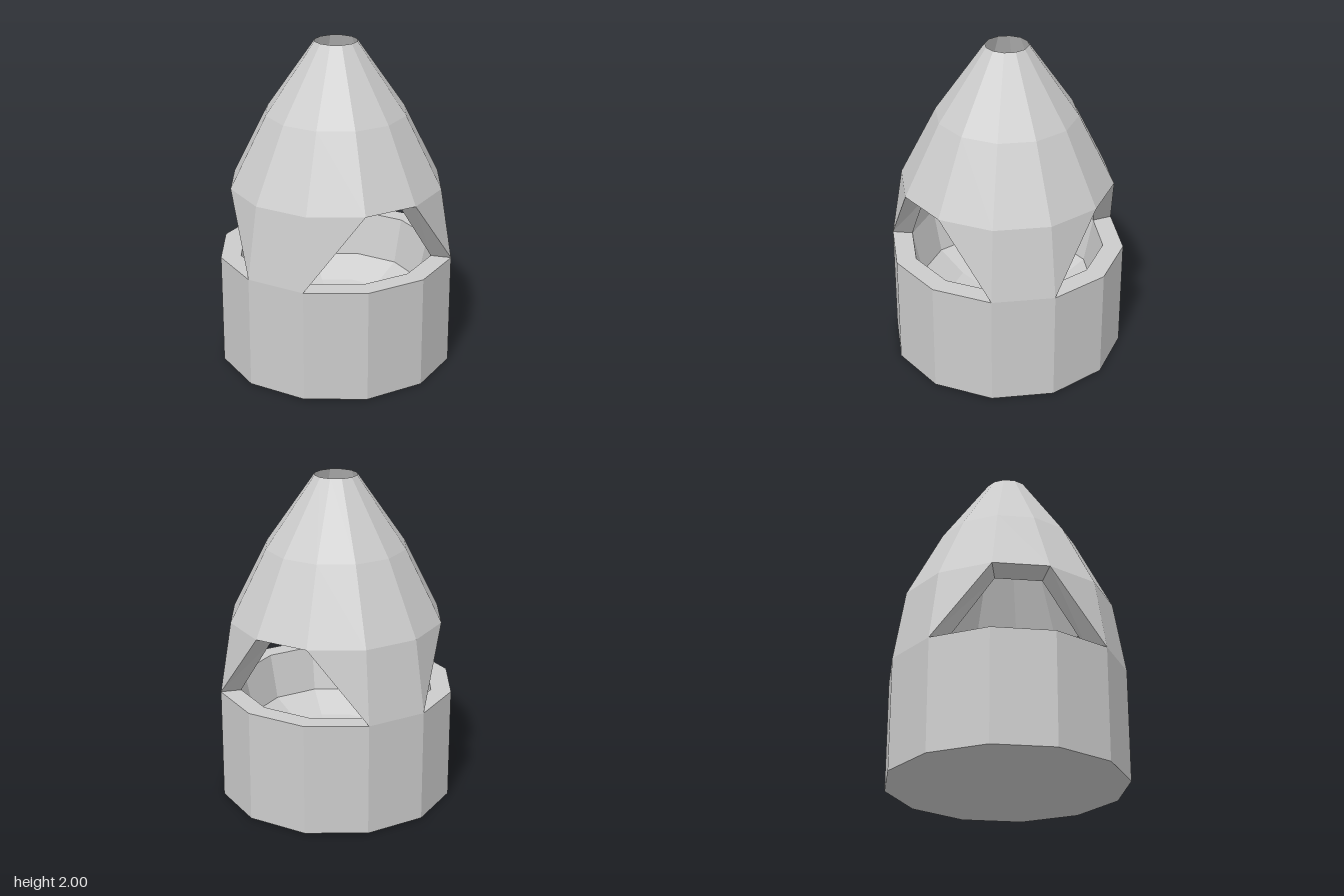
import * as THREE from 'three';

const SIDES = 12;
const OPENINGS = 3;

// Corner k of a twelve-sided ring; corner 0 faces the front
const corner = (k, [r, y]) => {
  const a = (k * Math.PI * 2) / SIDES;
  return [r * Math.sin(a), y, r * Math.cos(a)];
};

const lathe = (profile) =>
  new THREE.LatheGeometry(profile.map(([r, y]) => new THREE.Vector2(r, y)), SIDES);

function fromTriangles(points) {
  const g = new THREE.BufferGeometry();
  g.setAttribute('position', new THREE.Float32BufferAttribute(points.flat(), 3));
  g.computeVertexNormals();
  return g;
}

export function createModel() {
  const model = new THREE.Group();
  model.name = 'domedHousing';
  const grey = new THREE.MeshStandardMaterial({ color: 0xcccccc, flatShading: true });
  grey.name = 'light grey';
  const add = (name, geometry) => {
    const mesh = new THREE.Mesh(geometry, grey);
    mesh.name = name;
    model.add(mesh);
  };

  // [radius, height] where the legs meet the base and the dome
  const outLow = [0.725, 0.69], outHigh = [0.653, 1.13];
  const inLow = [0.6, 0.69], inHigh = [0.54, 1.085];

  // Base with a flat rim and a hollow bowl inside
  add('base', lathe([
    [0, 0], [0.725, 0], outLow, inLow,
    [0.54, 0.41], [0.36, 0.3], [0.14, 0.25], [0, 0.25],
  ]));

  // Hollow dome, open at the tip
  add('dome', lathe([outHigh, [0.43, 1.57], [0.13, 2], [0.35, 1.55], inHigh]));

  // Flared legs between the three openings: one side wide below, three above
  for (let i = 0; i < OPENINGS; i++) {
    const k = 2 + (i * SIDES) / OPENINGS;
    const tris = [];
    const quad = (a, b, c, d) => tris.push(...a, ...b, ...c, ...a, ...c, ...d);

    // Outer and inner skin
    for (const [low, high, inside] of [[outLow, outHigh, false], [inLow, inHigh, true]]) {
      const l0 = corner(k, low), l1 = corner(k + 1, low);
      const h = [-1, 0, 1, 2].map((n) => corner(k + n, high));
      const skin = [[l0, h[1], h[0]], [l0, l1, h[2]], [l0, h[2], h[1]], [l1, h[3], h[2]]];
      for (const t of skin) tris.push(...(inside ? t.reverse() : t).flat());
    }

    // Sloping sides of the leg and the top of the opening beside it
    const reveal = (ka, la, kb, lb) => quad(
      corner(ka, la ? outHigh : outLow), corner(ka, la ? inHigh : inLow),
      corner(kb, lb ? inHigh : inLow), corner(kb, lb ? outHigh : outLow));
    reveal(k - 1, true, k, false);
    reveal(k + 1, false, k + 2, true);
    reveal(k + 2, true, k + 3, true);

    add('leg' + (i + 1), fromTriangles(tris));
  }

  return model;
}
